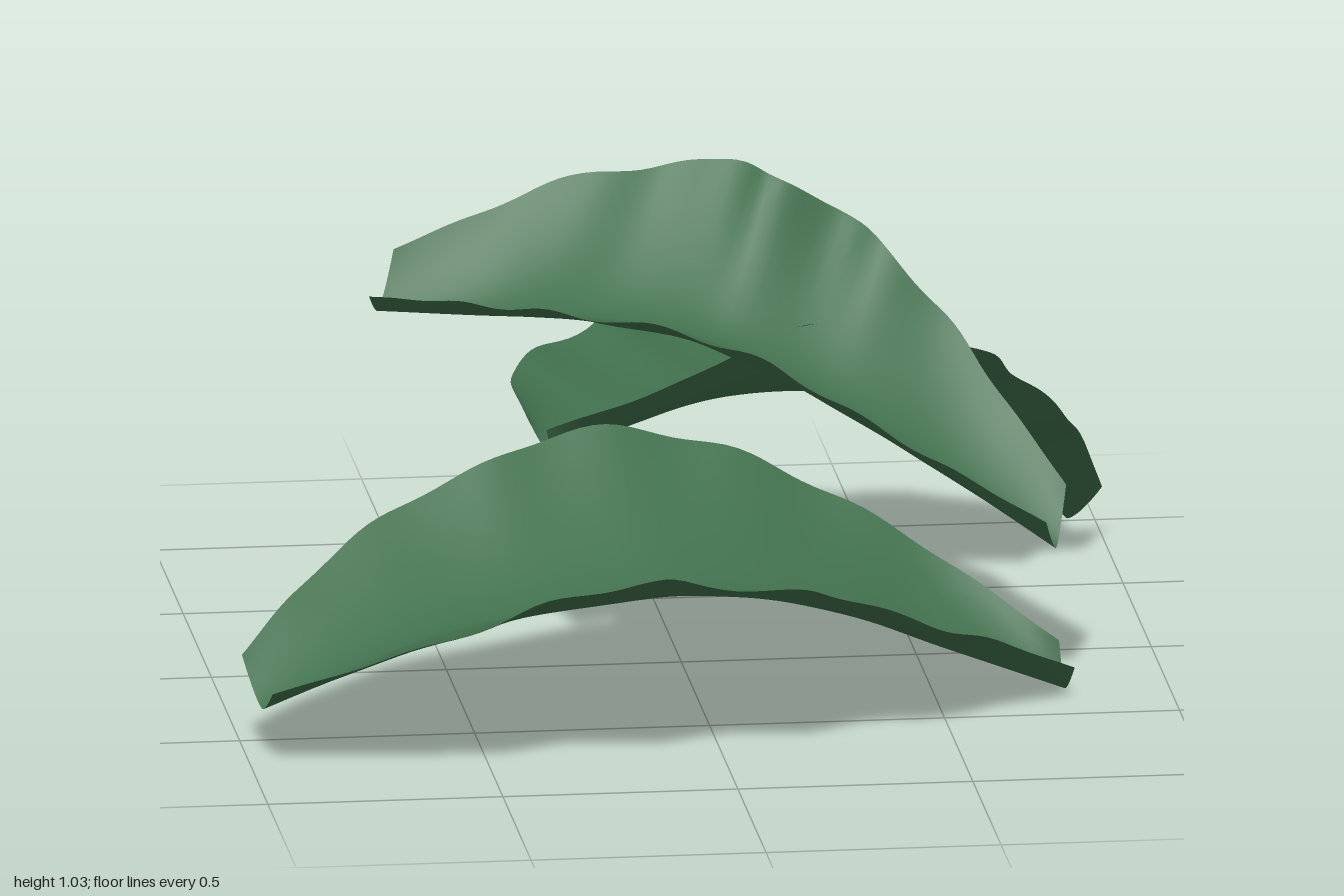
import * as THREE from 'three';

const leafGreen = new THREE.MeshStandardMaterial({ color: 0x41704d, side: THREE.DoubleSide });
leafGreen.name = 'leafGreen';

// Each leaf: back edge, midrib and front edge, as [x, y, z] points
const leaves = {
  lowerLeaf: {
    back: [[-1, .21, .54], [-.87, .31, .41], [-.66, .43, .26], [-.45, .51, .2], [-.25, .56, .12],
      [0, .53, .09], [.25, .43, .1], [.5, .29, .16], [.77, .11, .28]],
    rib: [[-.97, .12, .65], [-.6, .25, .58], [-.2, .3, .52], [0, .3, .48], [.3, .22, .41], [.5, .13, .36], [.78, .01, .3]],
    front: [[-.96, .18, .75], [-.8, .25, .83], [-.53, .36, .93], [-.38, .41, .92], [-.2, .46, .975], [-.05, .43, .9],
      [.12, .41, .9], [.26, .36, .78], [.42, .28, .71], [.6, .19, .55], [.79, .08, .39]],
  },
  upperLeaf: {
    back: [[-.58, .86, -.27], [-.4, .93, -.28], [-.15, 1.01, -.3], [-.03, 1.02, -.26], [.15, 1.045, -.25],
      [.22, 1.01, -.18], [.37, .94, -.18], [.45, .87, -.09], [.57, .74, -.02], [.65, .63, .09], [.79, .44, .24]],
    rib: [[-.62, .74, -.22], [-.4, .75, -.13], [-.2, .77, -.02], [0, .75, .05], [.2, .67, .12], [.4, .56, .2], [.6, .43, .26], [.76, .32, .31]],
    front: [[-.65, .8, -.12], [-.54, .83, .03], [-.42, .86, .2], [-.2, .88, .41], [-.05, .85, .42], [.08, .82, .5],
      [.2, .75, .48], [.37, .64, .48], [.55, .52, .44], [.73, .4, .39]],
  },
  backLeaf: {
    back: [[-.33, .56, -.05], [-.33, .57, -.27], [-.25, .58, -.46], [-.12, .59, -.58], [-.05, .61, -.72], [.1, .58, -.76],
      [.2, .56, -.87], [.38, .49, -.88], [.5, .42, -.94], [.7, .3, -.95], [.89, .14, -.98]],
    rib: [[-.28, .48, .06], [-.1, .5, -.12], [.1, .5, -.3], [.35, .46, -.47], [.55, .37, -.61], [.75, .23, -.76], [.93, .04, -.91]],
    front: [[-.3, .56, .11], [0, .65, .08], [.15, .71, .03], [.3, .74, 0], [.45, .71, -.08], [.55, .66, -.2],
      [.68, .6, -.22], [.75, .52, -.36], [.85, .42, -.45], [.93, .29, -.65], [.995, .13, -.83]],
  },
};

const curve = (pts) => new THREE.CatmullRomCurve3(pts.map((p) => new THREE.Vector3(...p)));

// Loft a curved trough across the three lines
function leafGeometry({ back, rib, front }, along = 72, across = 16) {
  const [b, r, f] = [back, rib, front].map(curve);
  const positions = [], index = [];
  for (let i = 0; i <= along; i++) {
    const u = i / along;
    const mid = r.getPointAt(u), edges = [b.getPointAt(u), f.getPointAt(u)];
    for (let j = 0; j <= across; j++) {
      const s = (j / across) * 2 - 1, w = Math.abs(s);
      const edge = edges[s < 0 ? 0 : 1];
      const p = mid.clone().lerp(edge, w);
      // Round the fold at the midrib and ripple the margins slightly
      p.y += (edge.y - mid.y) * (Math.pow(w, 1.35) - w);
      p.y += 0.008 * w * w * Math.sin(Math.PI * u) * Math.sin(u * 44 + s);
      positions.push(p.x, p.y, p.z);
      if (i < along && j < across) {
        const a = i * (across + 1) + j, c = a + across + 1;
        index.push(a, a + 1, c, a + 1, c + 1, c);
      }
    }
  }
  const g = new THREE.BufferGeometry();
  g.setAttribute('position', new THREE.Float32BufferAttribute(positions, 3));
  g.setIndex(index);
  g.computeVertexNormals();
  return g;
}

export function createModel() {
  const group = new THREE.Group();
  group.name = 'leaves';
  for (const [name, lines] of Object.entries(leaves)) {
    const mesh = new THREE.Mesh(leafGeometry(lines), leafGreen);
    mesh.name = name;
    group.add(mesh);
  }
  return group;
}
